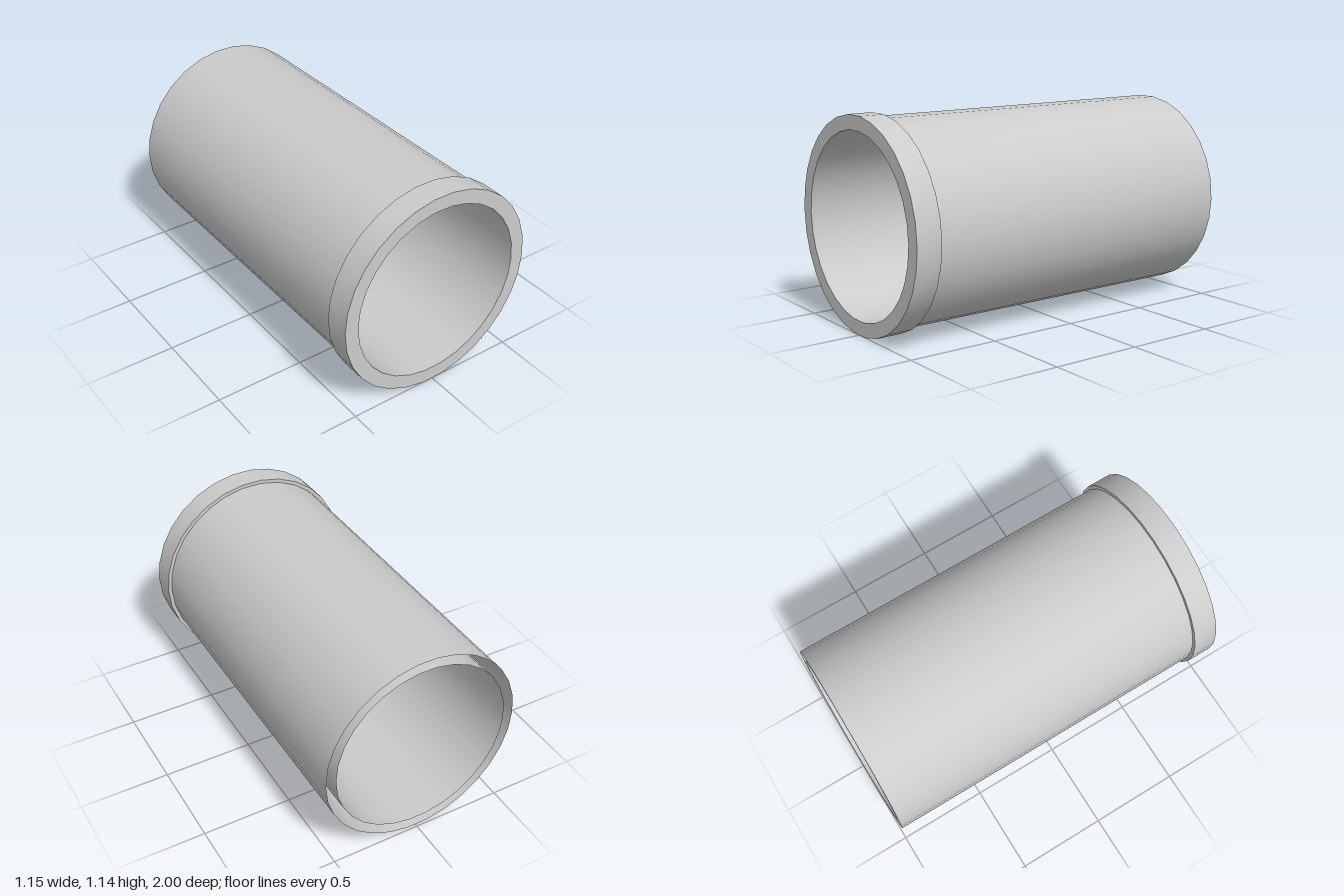
import * as THREE from 'three';
import { toCreasedNormals } from 'three/addons/utils/BufferGeometryUtils.js';

const SIDES = 30;
const CENTRE_Y = 0.57;

export function createModel() {
  const group = new THREE.Group();
  group.name = 'flangedSleeve';
  const material = new THREE.MeshStandardMaterial({ color: 0xcccccc, side: THREE.DoubleSide });

  // Revolve a [radius, z] profile about the z axis, with a corner on +x
  const addRevolved = (name, profile) => {
    const points = profile.map(([r, z]) => new THREE.Vector2(r, z));
    const lathe = new THREE.LatheGeometry(points, SIDES, Math.PI / 2);
    lathe.rotateX(Math.PI / 2);
    const mesh = new THREE.Mesh(toCreasedNormals(lathe, Math.PI / 6), material);
    mesh.name = name;
    mesh.position.y = CENTRE_Y;
    group.add(mesh);
  };

  // Outer wall, open at the back
  addRevolved('outerTube', [[0.552, -1], [0.552, 0.86]]);
  // Raised collar and flat front ring
  addRevolved('frontCollar', [[0.552, 0.86], [0.573, 0.86], [0.573, 1], [0.495, 1]]);
  // Bore wall, facing the axis
  addRevolved('innerTube', [[0.495, 1], [0.495, -1]]);

  return group;
}
